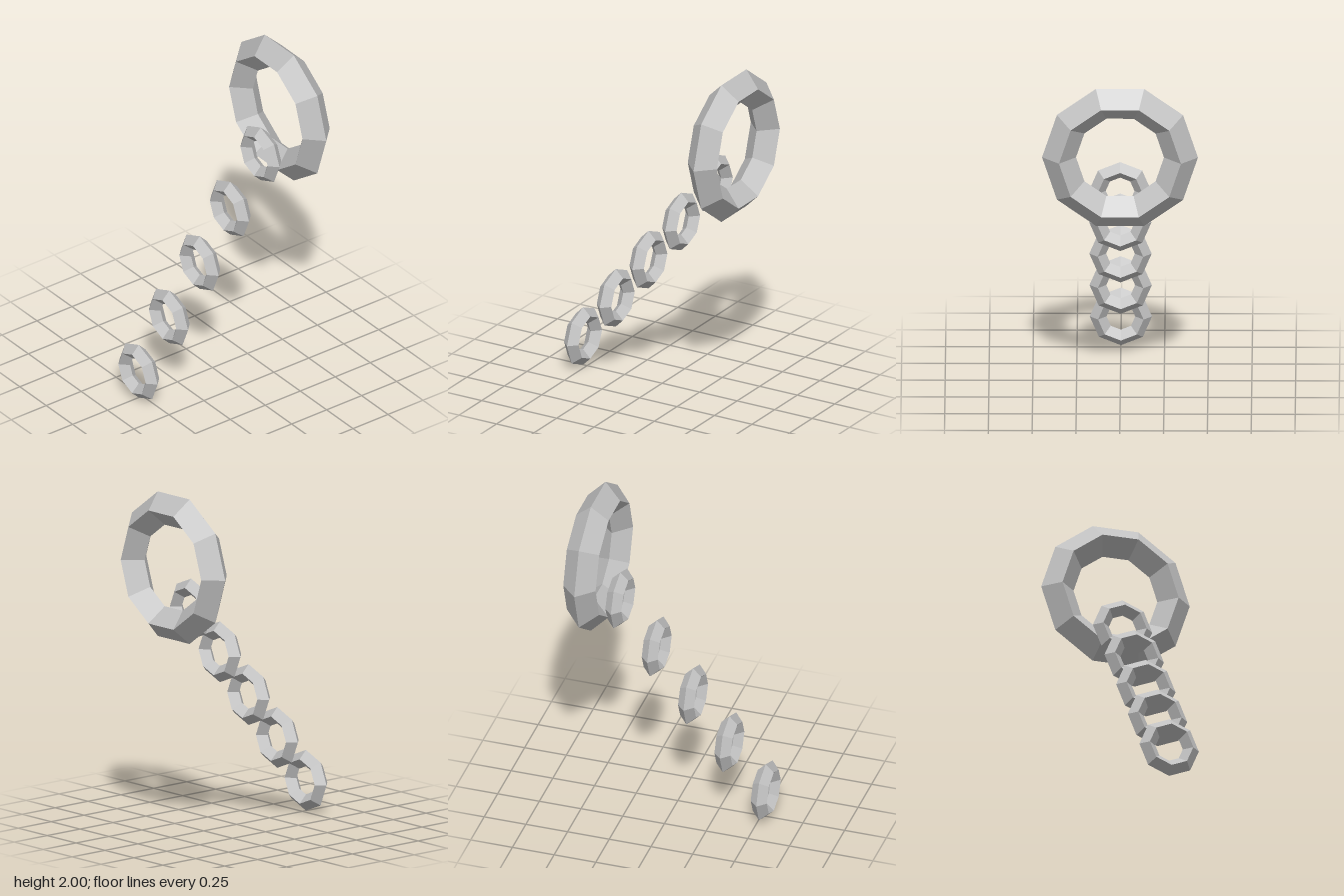
import * as THREE from 'three';

export function createModel() {
  const group = new THREE.Group();
  const grey = new THREE.MeshStandardMaterial({ color: 0xc0c0c0 });
  grey.name = 'light grey';

  // Faceted ring with a diamond cross-section
  const faceted = (radius, tube, sides) => {
    const geometry = new THREE.TorusGeometry(radius, tube, 4, sides).toNonIndexed();
    geometry.computeVertexNormals();
    return geometry;
  };
  const addRing = (name, geometry, y, z) => {
    const mesh = new THREE.Mesh(geometry, grey);
    mesh.name = name;
    mesh.position.set(0, y, z);
    group.add(mesh);
  };

  // Large ten-sided ring at the back
  addRing('largeRing', faceted(0.348, 0.097, 10), 1.577, -0.478);

  // Row of small eight-sided links rising from front to back
  const link = faceted(0.13, 0.048, 8);
  for (let i = 0; i < 5; i++) {
    addRing(`smallLink${i + 1}`, link, 0.179 + i * 0.284, 0.527 - i * 0.218);
  }
  return group;
}
